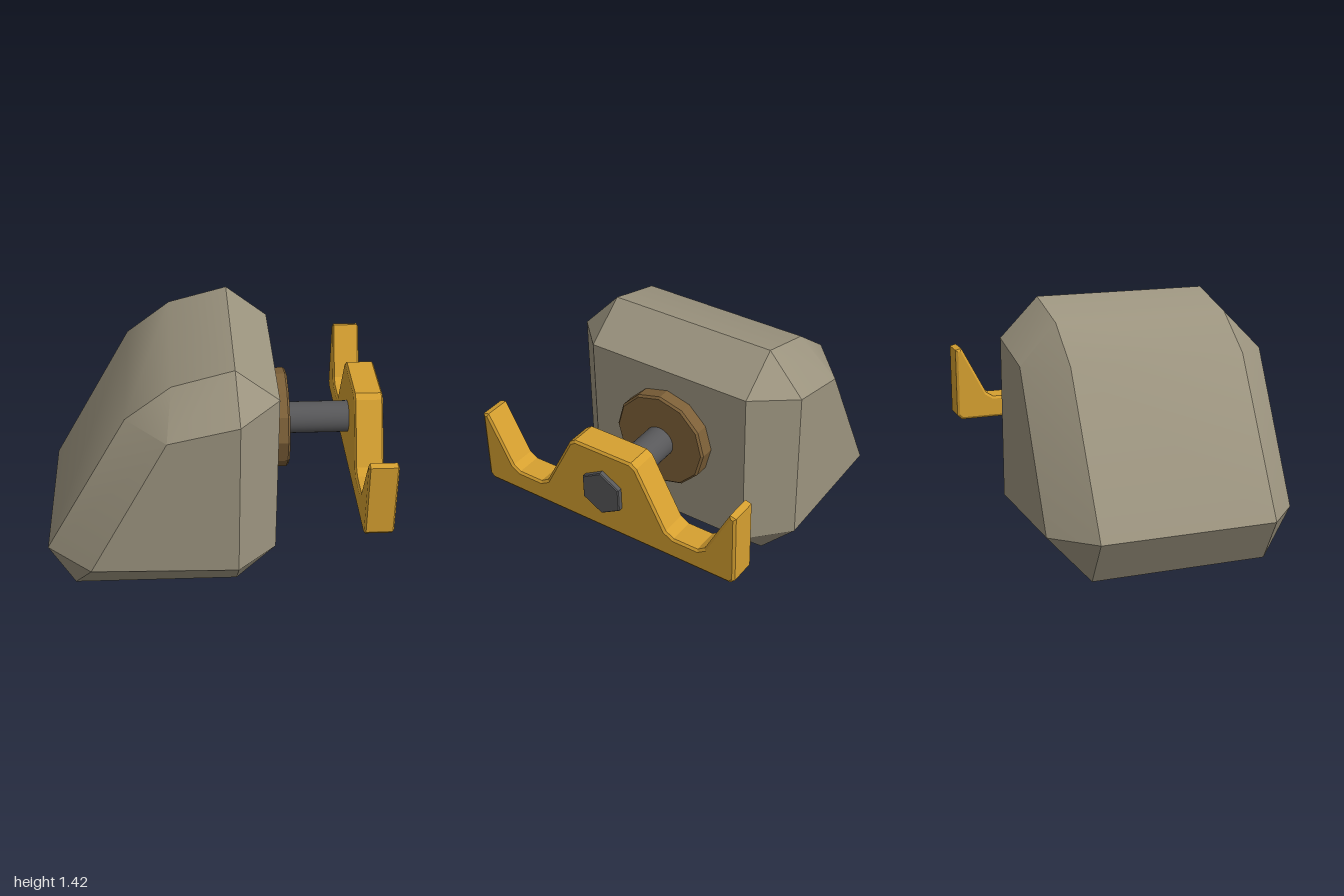
import * as THREE from 'three';
import { toCreasedNormals } from 'three/addons/utils/BufferGeometryUtils.js';
import { ConvexGeometry } from 'three/addons/geometries/ConvexGeometry.js';

const AXIS_Y = 0.8; // height of the bolt axis

const paint = (color, flatShading = false) => new THREE.MeshStandardMaterial({ color, flatShading });

function part(name, geometry, material) {
  const mesh = new THREE.Mesh(geometry, material);
  mesh.name = name;
  return mesh;
}

// Faceted disc along +x with a chamfered outer rim
function chamferedDisc(name, radius, depth, chamfer, sides, material) {
  const profile = [[0, 0], [radius, 0], [radius, depth - chamfer], [radius - chamfer, depth], [0, depth]]
    .map(([r, h]) => new THREE.Vector2(r, h));
  const mesh = part(name, new THREE.LatheGeometry(profile, sides, Math.PI / 2), material);
  mesh.rotation.z = -Math.PI / 2;
  return mesh;
}

// Body: a wide middle section tapering to a smaller panel on each side
function createBody() {
  const middle = [[-1, 0.26], [-0.52, 1.13], [-0.26, 1.33], [0.09, 1.425], [0.34, 1.23], [0.34, 0.23], [0.11, 0], [-0.85, 0]];
  const sidePanel = [[-0.74, 0.245], [-0.29, 1.1], [0.11, 1.19], [0.11, 0.23]];
  const points = [];
  for (const side of [-1, 1]) {
    for (const [x, y] of middle) points.push(new THREE.Vector3(x, y, side * 0.52));
    for (const [x, y] of sidePanel) points.push(new THREE.Vector3(x, y, side * 0.742));
  }
  const geometry = toCreasedNormals(new ConvexGeometry(points), THREE.MathUtils.degToRad(28));
  return part('body', geometry, paint(0x9c947f));
}

// Handle plate: mirrored outline with a central hump and upright ends
function createHandle() {
  const half = [
    [0.82, 0.53], [0.848, 0.558], [0.848, 0.985], [0.81, 0.995], [0.655, 0.695], [0.61, 0.665],
    [0.455, 0.665], [0.405, 0.695], [0.223, 1.043], [0.186, 1.068],
  ];
  const mirrored = half.map(([x, y]) => [-x, y]).reverse();
  const shape = new THREE.Shape([...half, ...mirrored].map(([x, y]) => new THREE.Vector2(x, y)));
  const geometry = new THREE.ExtrudeGeometry(shape, {
    depth: 0.15, bevelThickness: 0.01, bevelSize: 0.015, bevelOffset: -0.015, bevelSegments: 1,
  });
  const handle = part('handlePlate', geometry, paint(0xd6a030, true));
  handle.rotation.y = Math.PI / 2;
  handle.position.x = 0.81;
  return handle;
}

export function createModel() {
  const model = new THREE.Group();
  model.name = 'clampBlock';
  model.add(createBody(), createHandle());

  // Collar where the bolt enters the body, very slightly tilted
  const collar = chamferedDisc('collar', 0.298, 0.12, 0.012, 12, paint(0x7d6038, true));
  collar.position.set(0.313, AXIS_Y + 0.003, 0);
  collar.rotation.z += 0.022;
  model.add(collar);

  // Bolt shaft and hexagonal head
  const steel = 0x58585a;
  const shaft = part('boltShaft', new THREE.CylinderGeometry(0.095, 0.095, 0.45, 32), paint(steel));
  shaft.rotation.z = -Math.PI / 2;
  shaft.position.set(0.6, AXIS_Y, 0);
  const head = chamferedDisc('boltHead', 0.14, 0.05, 0.006, 6, paint(steel, true));
  head.position.set(0.95, AXIS_Y, 0);
  model.add(shaft, head);

  return model;
}
